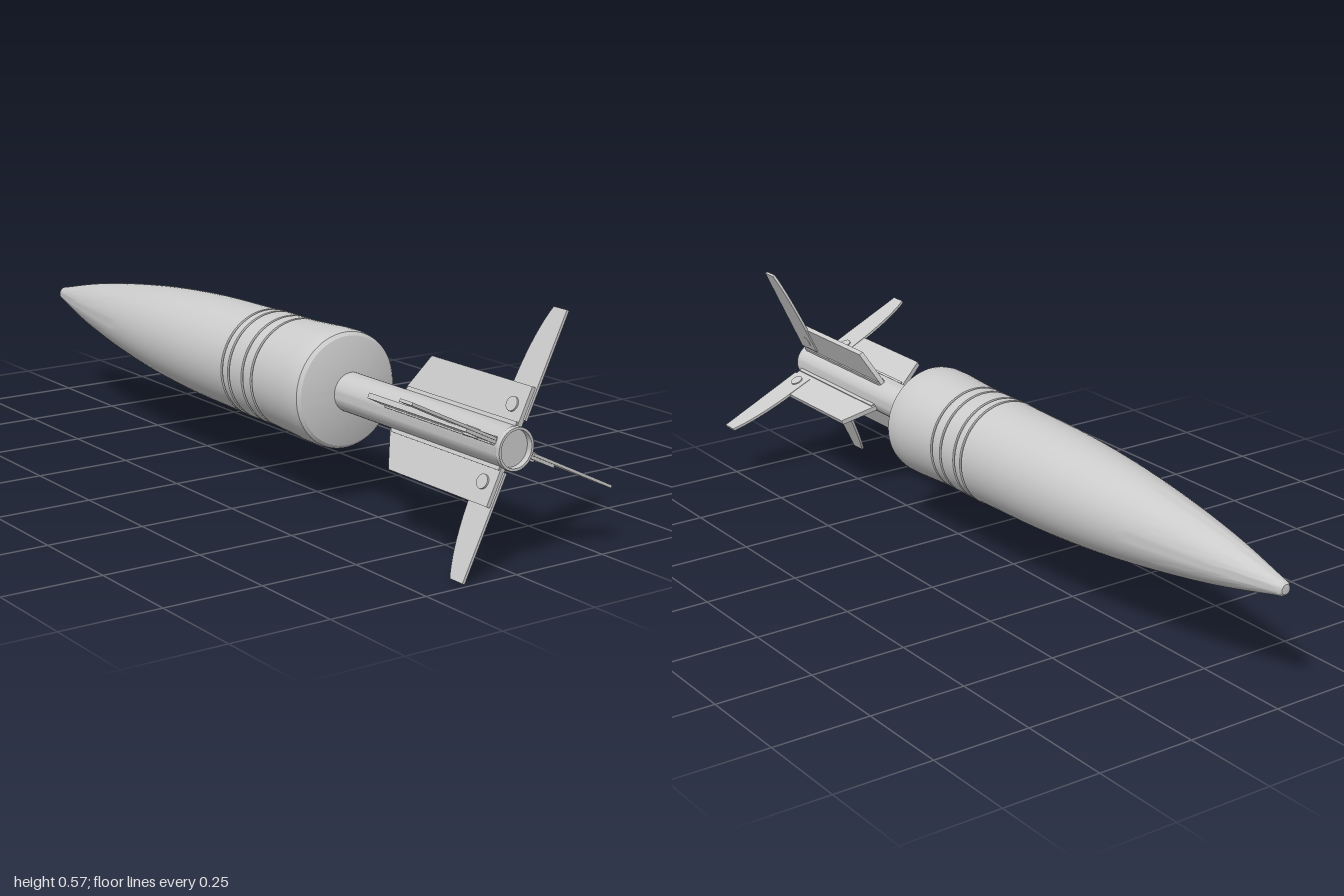
import * as THREE from 'three';
import { toCreasedNormals } from 'three/addons/utils/BufferGeometryUtils.js';

const material = new THREE.MeshStandardMaterial({ color: 0xcccccc });

function part(name, geometry) {
  const mesh = new THREE.Mesh(toCreasedNormals(geometry, 0.45), material);
  mesh.name = name;
  return mesh;
}

// Turned part along z from [radius, z] points, listed with z rising
function turned(name, points, segments = 64) {
  const profile = points.map(([r, z]) => new THREE.Vector2(r, z));
  return part(name, new THREE.LatheGeometry(profile, segments).rotateX(Math.PI / 2));
}

// Flat plate drawn as (radius, z), with its thickness centred on the radial plane
function plate(name, shape, thickness) {
  const geometry = new THREE.ExtrudeGeometry(shape, {
    depth: thickness, bevelEnabled: false, curveSegments: 12,
  });
  return part(name, geometry.translate(0, 0, -thickness / 2).rotateX(Math.PI / 2));
}

function makeBody() {
  const nose = new THREE.SplineCurve([
    [0.021, -0.975], [0.06, -0.8], [0.093, -0.6], [0.117, -0.4],
    [0.131, -0.2], [0.136, 0], [0.137, 0.04],
  ].map(([r, z]) => new THREE.Vector2(r, z)));
  const points = [[0, -1], [0.012, -0.998], [0.018, -0.99]];
  for (const p of nose.getPoints(28)) points.push([p.x, p.y]);
  // Shallow grooves around the waist
  for (const z of [0.05, 0.08, 0.14, 0.18]) {
    points.push([0.138, z - 0.004], [0.134, z - 0.003], [0.134, z + 0.003], [0.138, z + 0.004]);
  }
  // Swelling rear band and rounded, slightly conical base
  points.push([0.139, 0.21], [0.145, 0.32], [0.145, 0.36], [0.142, 0.377],
    [0.134, 0.385], [0.085, 0.398], [0, 0.4]);
  return turned('body', points);
}

function makeFin() {
  const fin = new THREE.Group();
  fin.name = 'fin';

  // Fixed plate with a swept front edge
  const fixed = new THREE.Shape();
  fixed.moveTo(0.035, 0.59);
  fixed.lineTo(0.055, 0.592);
  fixed.lineTo(0.139, 0.635);
  fixed.lineTo(0.139, 0.983);
  fixed.lineTo(0.035, 0.983);
  fin.add(plate('fixedPlate', fixed, 0.013));

  // Thicker strip where the plate meets the tail tube
  const root = new THREE.Shape();
  root.moveTo(0.035, 0.59);
  root.lineTo(0.056, 0.6);
  root.lineTo(0.056, 0.98);
  root.lineTo(0.035, 0.98);
  fin.add(plate('finRoot', root, 0.02));

  // Pivot pin showing on both faces
  const pin = part('pivotPin', new THREE.CylinderGeometry(0.017, 0.017, 0.022, 20));
  pin.position.set(0.09, 0, 0.945);
  fin.add(pin);

  // Folding blade with a curved leading edge, set a little off the tube axis
  const blade = new THREE.Shape();
  blade.moveTo(0.06, 0.908);
  blade.lineTo(0.15, 0.911);
  blade.bezierCurveTo(0.22, 0.915, 0.28, 0.928, 0.316, 0.945);
  blade.lineTo(0.316, 0.988);
  blade.lineTo(0.06, 0.988);
  return { fin, blade: plate('foldingBlade', blade, 0.007) };
}

export function createModel() {
  const model = new THREE.Group();
  model.name = 'finnedShell';

  const shell = new THREE.Group();
  shell.name = 'shell';
  shell.position.set(-0.01, 0.285, 0);
  shell.add(makeBody());
  // Tail tube with a recessed rear end
  shell.add(turned('tailTube', [
    [0.048, 0.39], [0.048, 0.985], [0.05, 0.99], [0.049, 1],
    [0.043, 1], [0.043, 0.985], [0, 0.985],
  ], 40));
  model.add(shell);

  const blades = new THREE.Group();
  blades.name = 'foldingBlades';
  blades.position.set(-0.002, 0.286, 0);
  model.add(blades);

  // Four fins at right angles
  for (let i = 0; i < 4; i++) {
    const angle = THREE.MathUtils.degToRad(64.3 + i * 90);
    const { fin, blade } = makeFin();
    fin.rotation.z = angle;
    blade.rotation.z = angle;
    shell.add(fin);
    blades.add(blade);
  }
  return model;
}
